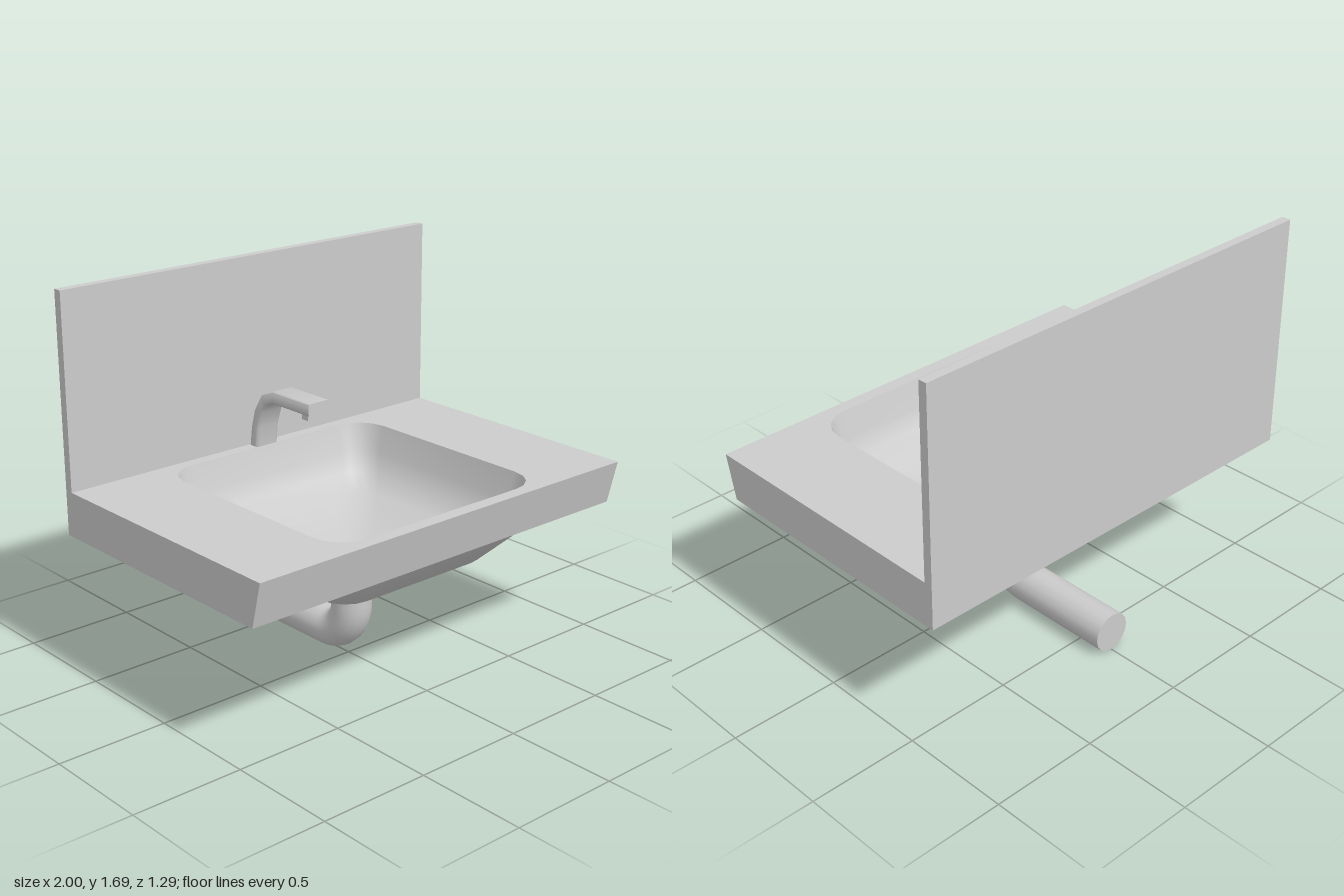
import * as THREE from 'three';
import { toCreasedNormals } from 'three/addons/utils/BufferGeometryUtils.js';

// Rounded rectangle as [u, v] points, u within +-halfU, v from v0 to v1
function roundedLoop(halfU, v0, v1, r, n = 4) {
  const pts = [];
  for (let q = 0; q < 4; q++) {
    const cu = (q === 0 || q === 3 ? 1 : -1) * (halfU - r);
    const cv = q < 2 ? v1 - r : v0 + r;
    for (let i = 0; i <= n; i++) {
      const a = (q + i / n) * Math.PI / 2;
      pts.push([cu + r * Math.cos(a), cv + r * Math.sin(a)]);
    }
  }
  return pts;
}

// Skin between rings of Vector3, all with the same point count
function loft(rings, crease) {
  const n = rings[0].length, pos = [], index = [];
  for (const ring of rings) for (const p of ring) pos.push(p.x, p.y, p.z);
  for (let i = 0; i < rings.length - 1; i++) {
    for (let j = 0; j < n; j++) {
      const a = i * n + j, b = i * n + (j + 1) % n;
      index.push(a, b, a + n, b, b + n, a + n);
    }
  }
  const g = new THREE.BufferGeometry();
  g.setAttribute('position', new THREE.Float32BufferAttribute(pos, 3));
  g.setIndex(index);
  g.computeVertexNormals();
  return toCreasedNormals(g, crease);
}

// Ring of a single repeated point at the middle, closes a loft
function capRing(ring) {
  const c = new THREE.Box3().setFromPoints(ring).getCenter(new THREE.Vector3());
  return ring.map(() => c);
}

export function createModel() {
  const group = new THREE.Group();
  const grey = new THREE.MeshStandardMaterial({ color: 0xcccccc });
  const add = (name, geometry, x = 0, y = 0, z = 0) => {
    const mesh = new THREE.Mesh(geometry, grey);
    mesh.name = name;
    mesh.position.set(x, y, z);
    group.add(mesh);
    return mesh;
  };

  // Backsplash
  add('backsplash', new THREE.BoxGeometry(2, 1.06, 0.04), 0, 1.16, -0.625);

  // Counter with the basin opening and a front that slopes back
  const top = new THREE.Shape([[-1, -0.605], [1, -0.605], [1, 0.645], [-1, 0.645]]
    .map(p => new THREE.Vector2(...p)));
  top.holes.push(new THREE.Path(roundedLoop(0.57, -0.55, 0.585, 0.15)
    .map(p => new THREE.Vector2(...p))));
  const counter = new THREE.ExtrudeGeometry(top, { depth: 0.2, bevelEnabled: false });
  counter.rotateX(Math.PI / 2).translate(0, 0.83, 0);
  const cp = counter.attributes.position;
  for (let i = 0; i < cp.count; i++) {
    if (cp.getY(i) < 0.7 && cp.getZ(i) > 0.64) cp.setZ(i, 0.595);
  }
  counter.computeVertexNormals();
  add('counter', counter);

  // Basin: rows are half width, back z, front z, corner radius, height
  const bowlRing = ([hx, z0, z1, r, y]) =>
    roundedLoop(hx, z0, z1, r).map(([x, z]) => new THREE.Vector3(x, y, z));
  const inner = [
    [0.09, -0.08, 0.10, 0.09, 0.45],
    [0.24, -0.22, 0.25, 0.12, 0.49],
    [0.42, -0.40, 0.44, 0.12, 0.56],
    [0.50, -0.475, 0.52, 0.12, 0.62],
    [0.535, -0.515, 0.55, 0.13, 0.71],
    [0.57, -0.55, 0.585, 0.15, 0.83],
  ].map(bowlRing);
  add('basinInside', loft(inner, 1.2));
  const outer = [
    [0.57, -0.55, 0.585, 0.15, 0.63],
    [0.43, -0.41, 0.45, 0.13, 0.485],
    [0.24, -0.21, 0.25, 0.1, 0.43],
  ].map(bowlRing);
  outer.push(capRing(outer[2]));
  add('basinUnderside', loft(outer, 1.2));

  // Drain disc
  add('drain', new THREE.CylinderGeometry(0.092, 0.092, 0.02, 16), 0, 0.44, 0.01);

  // Waste pipe: down, round a bend and back to the wall
  const v = (y, z) => new THREE.Vector3(0, y, z);
  const path = new THREE.CurvePath();
  path.add(new THREE.LineCurve3(v(0.44, 0.02), v(0.24, 0.02)));
  path.add(new THREE.CubicBezierCurve3(v(0.24, 0.02), v(0.157, 0.02), v(0.09, -0.047), v(0.09, -0.13)));
  path.add(new THREE.LineCurve3(v(0.09, -0.13), v(0.09, -0.645)));
  add('wastePipe', new THREE.TubeGeometry(path, 36, 0.09, 16));
  add('wastePipeEnd', new THREE.CircleGeometry(0.09, 16), 0, 0.09, -0.645).rotation.y = Math.PI;

  // Tap: rows are inner z, y and outer z, y from base to tip
  const tap = [
    [-0.55, 0.83, -0.605, 0.83],
    [-0.54, 0.92, -0.592, 0.92],
    [-0.513, 1.0, -0.57, 1.0],
    [-0.483, 1.04, -0.52, 1.08],
    [-0.44, 1.057, -0.44, 1.115],
    [-0.19, 1.057, -0.19, 1.115],
  ].map(([zi, yi, zo, yo]) => roundedLoop(0.06, -0.029, 0.029, 0.014, 3).map(([x, t]) => {
    const k = t / 0.058 + 0.5;
    return new THREE.Vector3(x, yi + (yo - yi) * k, zi + (zo - zi) * k);
  }));
  add('tap', loft([capRing(tap[0]), ...tap, capRing(tap[5])], 0.9));
  add('tapOutlet', new THREE.BoxGeometry(0.1, 0.03, 0.04), 0, 1.05, -0.225);

  return group;
}
